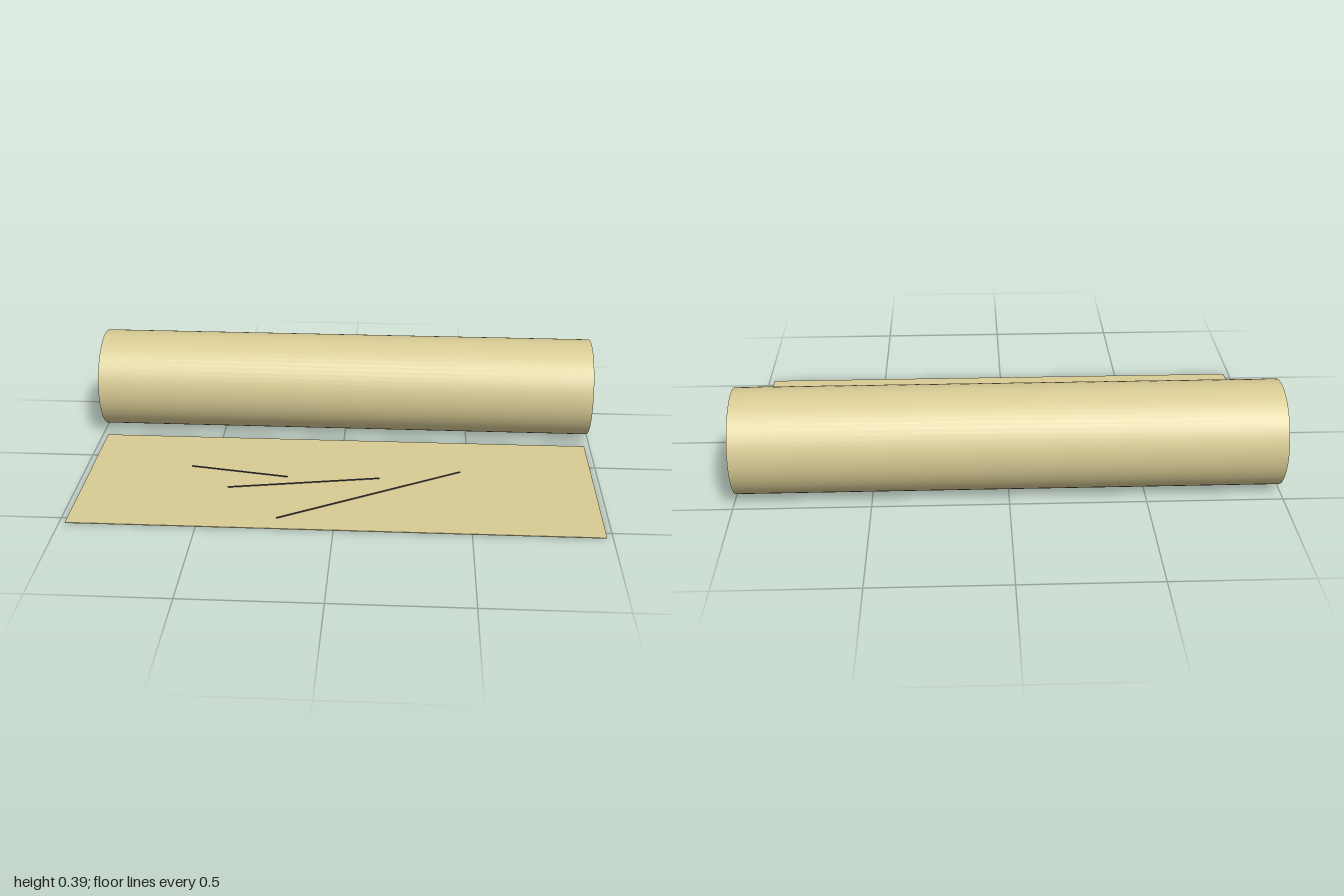
import * as THREE from 'three';

export function createModel() {
  const group = new THREE.Group();
  const paper = new THREE.MeshStandardMaterial({ color: 0xd8cb94 });
  paper.name = 'parchment';
  const wood = new THREE.MeshStandardMaterial({ color: 0x9a7b54 });
  wood.name = 'woodBrown';
  const ink = new THREE.MeshStandardMaterial({ color: 0x33333b });
  ink.name = 'darkInk';

  const add = (name, geometry, material, x, y, z) => {
    const mesh = new THREE.Mesh(geometry, material);
    mesh.name = name;
    mesh.position.set(x, y, z);
    group.add(mesh);
    return mesh;
  };

  // Rolled paper and the core that just pokes out of both ends
  const rollY = 0.197, rollZ = -0.342;
  add('paperRoll', new THREE.CylinderGeometry(0.195, 0.195, 1.988, 64), paper, 0, rollY, rollZ).rotation.z = Math.PI / 2;
  add('rollCore', new THREE.CylinderGeometry(0.104, 0.104, 2, 48), wood, 0, rollY, rollZ).rotation.z = Math.PI / 2;

  // Unrolled sheet lying flat in front
  add('flatSheet', new THREE.BoxGeometry(1.956, 0.003, 0.717), paper, 0, 0.0025, 0.1785);

  // Ink strokes, each from (x1, z1) to (x2, z2)
  [
    [-0.585, 0.078, -0.2, 0.146],
    [-0.422, 0.241, 0.155, 0.139],
    [-0.212, 0.463, 0.468, 0.07],
  ].forEach(([x1, z1, x2, z2], i) => {
    const dx = x2 - x1, dz = z2 - z1;
    const stroke = add(`inkStroke${i + 1}`, new THREE.BoxGeometry(Math.hypot(dx, dz), 0.003, 0.007),
      ink, (x1 + x2) / 2, 0.005, (z1 + z2) / 2);
    stroke.rotation.y = -Math.atan2(dz, dx);
  });

  return group;
}
